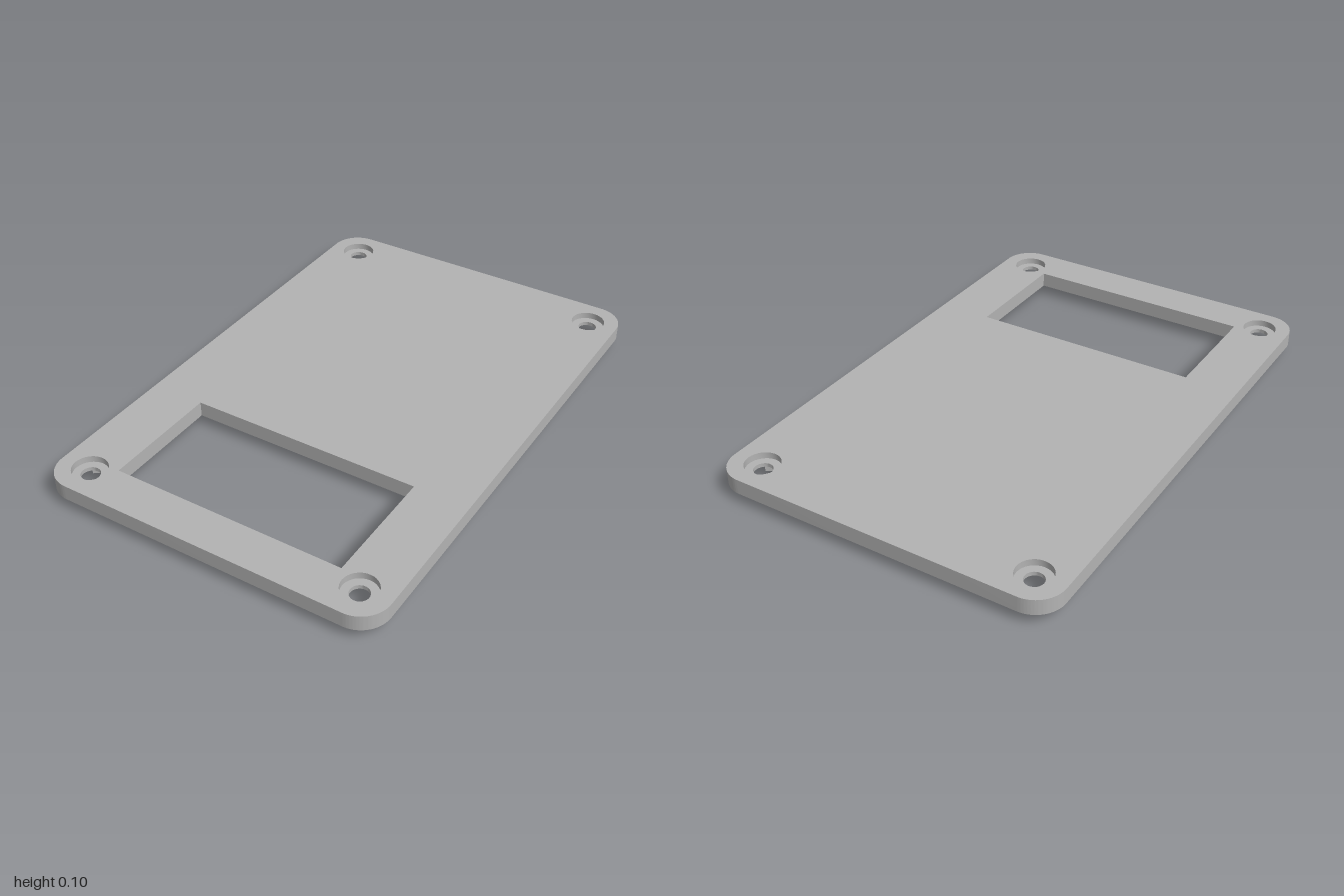
import * as THREE from 'three';
import { toCreasedNormals } from 'three/addons/utils/BufferGeometryUtils.js';

const HALF_W = 0.665, HALF_L = 1, CORNER = 0.11;
const TOP = 0.1, BOTTOM = 0.041;
const HOLE_X = 0.546, HOLE_Z = 0.882;
const BORE_R = 0.065, SCREW_R = 0.035, RECESS_R = 0.093;
const CREASE = 0.6;

// Rounded plate outline with the window; flip = -1 puts model +z at shape -y
function plateShape(flip, holeRadius) {
  const w = HALF_W, l = HALF_L, r = CORNER, q = Math.PI / 2;
  const s = new THREE.Shape();
  s.moveTo(w, -l + r);
  s.absarc(w - r, l - r, r, 0, q);
  s.absarc(-w + r, l - r, r, q, 2 * q);
  s.absarc(-w + r, -l + r, r, 2 * q, 3 * q);
  s.absarc(w - r, -l + r, r, 3 * q, 4 * q);

  const win = new THREE.Path();
  win.setFromPoints([[-0.453, 0.381], [0.453, 0.381], [0.453, 0.84], [-0.453, 0.84]]
    .map(([x, z]) => new THREE.Vector2(x, z * flip)));
  win.closePath();
  s.holes.push(win);

  if (holeRadius) {
    for (const x of [-HOLE_X, HOLE_X]) for (const z of [-HOLE_Z, HOLE_Z]) {
      s.holes.push(new THREE.Path().absarc(x, z, holeRadius, 0, Math.PI * 2));
    }
  }
  return s;
}

// Side walls only of an extruded shape
function wallsOf(shape, depth) {
  const ext = new THREE.ExtrudeGeometry(shape, { depth, bevelEnabled: false, curveSegments: 16 });
  const side = ext.groups[1];
  const pos = ext.getAttribute('position').array.slice(side.start * 3, (side.start + side.count) * 3);
  const g = new THREE.BufferGeometry();
  g.setAttribute('position', new THREE.BufferAttribute(pos, 3));
  return toCreasedNormals(g, CREASE);
}

// Locating ridge along the back edge, its ends scooped out around the screw recesses
function ridgeGeometry(span, centre, inner, outer) {
  const a0 = Math.asin((inner - centre) / RECESS_R);
  const a1 = Math.asin((outer - centre) / RECESS_R);
  const s = new THREE.Shape();
  s.absarc(span, centre, RECESS_R, Math.PI - a0, Math.PI - a1, true);
  s.absarc(-span, centre, RECESS_R, a1, a0, true);
  s.closePath();
  const g = new THREE.ExtrudeGeometry(s, { depth: BOTTOM, bevelEnabled: false, curveSegments: 8 });
  g.rotateX(-Math.PI / 2);
  return toCreasedNormals(g, CREASE);
}

export function createModel() {
  const model = new THREE.Group();
  model.name = 'coverPlate';
  const grey = new THREE.MeshStandardMaterial({ color: 0xb3b3b3 });
  grey.name = 'grey';

  const add = (name, geometry) => {
    const m = new THREE.Mesh(geometry, grey);
    m.name = name;
    model.add(m);
    return m;
  };

  // Plate faces and edges
  const top = new THREE.ShapeGeometry(plateShape(-1, BORE_R), 16);
  add('plateTop', top.rotateX(-Math.PI / 2).translate(0, TOP, 0));
  const under = new THREE.ShapeGeometry(plateShape(1, RECESS_R), 16);
  add('plateUnderside', under.rotateX(Math.PI / 2).translate(0, BOTTOM, 0));
  const walls = wallsOf(plateShape(-1), TOP - BOTTOM);
  add('plateEdges', walls.rotateX(-Math.PI / 2).translate(0, BOTTOM, 0));

  // Stepped screw holes: counterbore above, wider recess below
  const profile = [
    [BORE_R, TOP], [BORE_R, 0.075], [SCREW_R, 0.075],
    [SCREW_R, 0.06], [RECESS_R, 0.06], [RECESS_R, BOTTOM],
  ].map(([r, y]) => new THREE.Vector2(r, y));
  const hole = toCreasedNormals(new THREE.LatheGeometry(profile, 32), CREASE);
  for (const x of [-HOLE_X, HOLE_X]) for (const z of [-HOLE_Z, HOLE_Z]) {
    add('screwHole', hole).position.set(x, 0, z);
  }

  // Locating ridges underneath
  const endRidge = ridgeGeometry(HOLE_X, HOLE_Z, 0.907, 0.945);
  const sideRidge = ridgeGeometry(HOLE_Z, HOLE_X, 0.571, 0.609);
  add('backRidge', endRidge);
  add('frontRidge', endRidge).rotation.y = Math.PI;
  add('rightRidge', sideRidge).rotation.y = Math.PI / 2;
  add('leftRidge', sideRidge).rotation.y = -Math.PI / 2;

  return model;
}
